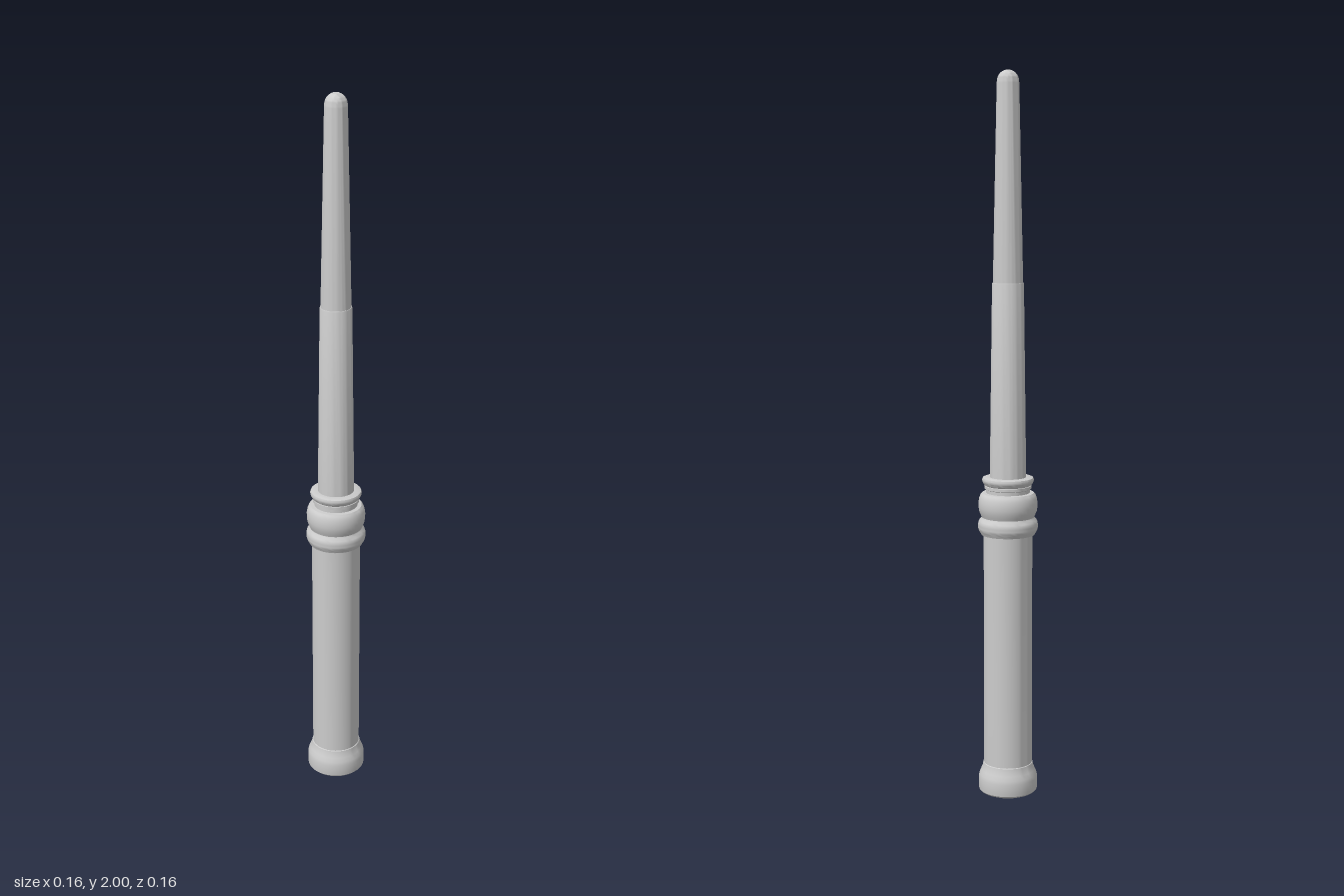
import * as THREE from 'three';
import { toCreasedNormals } from 'three/addons/utils/BufferGeometryUtils.js';

const SEGMENTS = 48;

export function createModel() {
  const group = new THREE.Group();
  const material = new THREE.MeshStandardMaterial({ color: 0xcccccc });

  // Turned part from [radius, height] pairs, listed bottom to top
  function turned(name, profile) {
    const points = profile.map(([r, y]) => new THREE.Vector2(r, y));
    const geometry = toCreasedNormals(new THREE.LatheGeometry(points, SEGMENTS), 0.6);
    const mesh = new THREE.Mesh(geometry, material);
    mesh.name = name;
    group.add(mesh);
  }

  // Elliptical arc of profile points between two angles (0 = outward, PI/2 = up)
  function arc(cx, cy, rx, ry, from, to, steps = 8) {
    return Array.from({ length: steps + 1 }, (_, i) => {
      const a = from + ((to - from) * i) / steps;
      return [Math.max(0, cx + rx * Math.cos(a)), cy + ry * Math.sin(a)];
    });
  }
  const H = Math.PI / 2;

  // Pommel with a shallow domed underside and a flared top
  turned('pommel', [
    [0, 0], [0.03, 0.003], [0.055, 0.01], [0.076, 0.019], [0.081, 0.024],
    [0.082, 0.03], [0.082, 0.058], [0.08, 0.068], [0.075, 0.08],
    [0.071, 0.09], [0.069, 0.1], [0.066, 0.102],
  ]);

  // Straight grip
  turned('grip', [[0.067, 0.09], [0.067, 0.76]]);

  // Rounded ring under the collar
  turned('lowerRing', [
    [0.066, 0.752], [0.074, 0.753],
    ...arc(0.07, 0.777, 0.0125, 0.022, -H * 0.7, H * 0.8),
    [0.072, 0.803],
  ]);

  // Bulging collar
  turned('collar', [
    [0.072, 0.8], [0.075, 0.808], [0.079, 0.817], [0.081, 0.83],
    [0.081, 0.842], [0.079, 0.854], [0.075, 0.864], [0.071, 0.868], [0.058, 0.869],
  ]);

  // Stepped neck and flared rim around the shaft
  turned('neck', [[0.06, 0.866], [0.06, 0.878], [0.064, 0.88], [0.064, 0.888], [0.06, 0.89]]);
  turned('rim', [
    [0.06, 0.887], [0.066, 0.892], [0.07, 0.899], [0.071, 0.905],
    [0.069, 0.91], [0.064, 0.912], [0.048, 0.912],
  ]);

  // Two tapering shaft sections with a fine step between them
  turned('lowerShaft', [[0.05, 0.9], [0.043, 1.438], [0.042, 1.441], [0.038, 1.441]]);
  turned('upperShaft', [
    [0.041, 1.43], [0.03, 1.965],
    ...arc(0, 1.97, 0.0295, 0.03, 0, H, 10),
  ]);

  return group;
}
